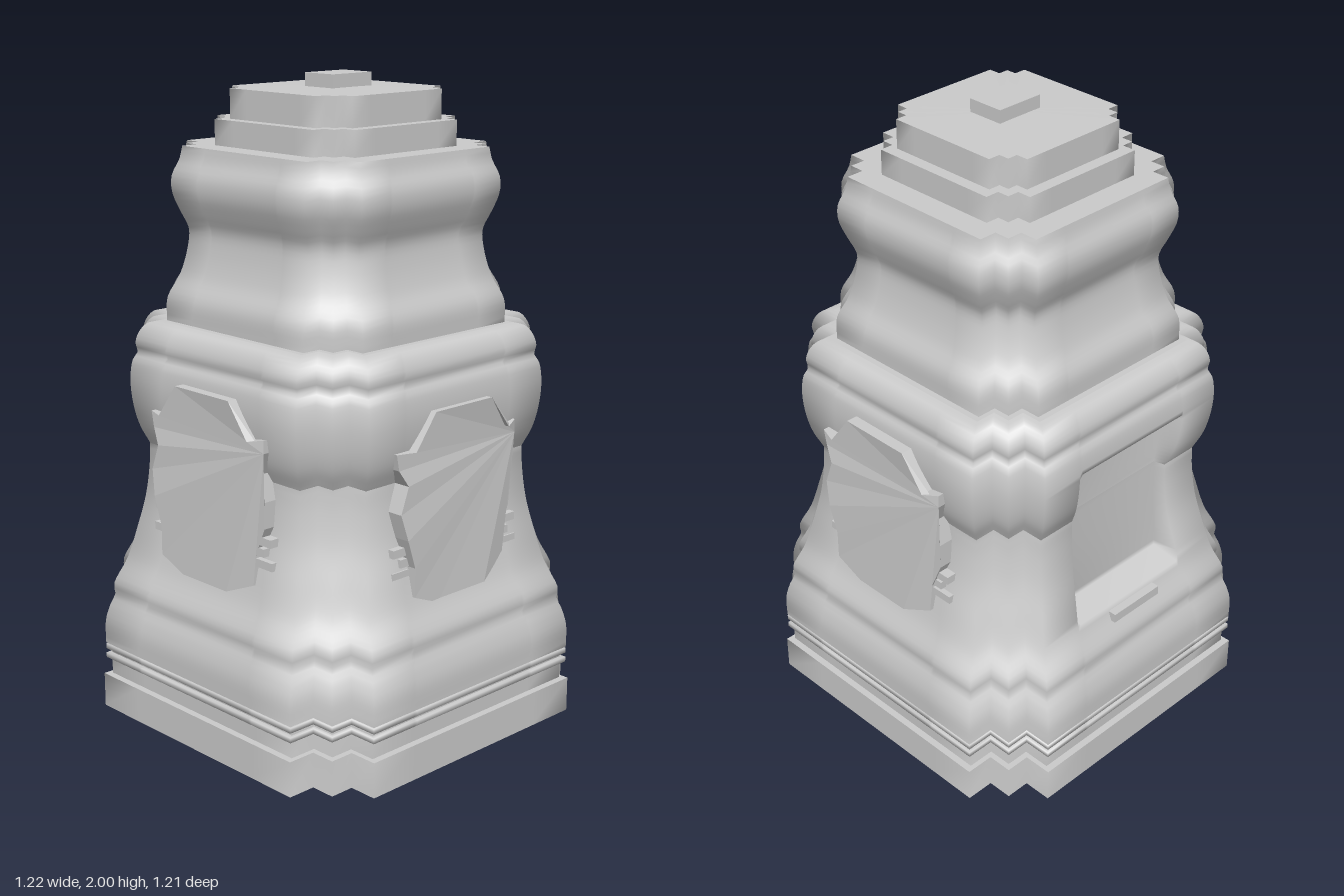
import * as THREE from 'three';

const grey = new THREE.MeshStandardMaterial({ color: 0xcccccc, side: THREE.DoubleSide });

// Square plan with two steps in every corner, as [x, z] for half-width 1
const B = 0.85, C = 0.72, plan = [];
const quarter = [[1, -C], [1, -0.44], [1, -0.42], [1, 0.42], [1, 0.44], [1, C], [B, C], [B, B], [C, B]];
for (let k = 0; k < 4; k++) {
  for (let [x, z] of quarter) {
    for (let i = 0; i < k; i++) [x, z] = [-z, x];
    plan.push([x, z]);
  }
}
const N = plan.length;

// Skin one band of the tower from [halfWidth, y] rows
function band(name, rows) {
  const pos = [], idx = [];
  rows.forEach(([r, y], j) => {
    plan.forEach(([px, pz], i) => {
      let x = px * r;
      // niche sunk into the -x face
      if ((i === 20 || i === 21) && y > 0.53 && y < 1.06) x = Math.max(x, -0.44);
      pos.push(x, y, pz * r * 0.99);
      if (j === 0) return;
      const n = (i + 1) % N, a = (j - 1) * N + i, b = (j - 1) * N + n, c = j * N + i, d = j * N + n;
      idx.push(a, c, b, b, c, d);
    });
  });
  const g = new THREE.BufferGeometry();
  g.setAttribute('position', new THREE.Float32BufferAttribute(pos, 3));
  g.setIndex(idx);
  g.computeVertexNormals();
  const mesh = new THREE.Mesh(g, grey);
  mesh.name = name;
  return mesh;
}

// Smooth rows through a few profile points
function curveRows(points, steps) {
  const curve = new THREE.CatmullRomCurve3(points.map(([r, y]) => new THREE.Vector3(r, y, 0)), false, 'centripetal');
  return curve.getSpacedPoints(steps).map(p => [p.x, p.y]);
}

function box(name, w, h, d, x, y, z) {
  const m = new THREE.Mesh(new THREE.BoxGeometry(w, h, d), grey);
  m.position.set(x, y, z);
  m.name = name;
  return m;
}

// Shield-shaped plate facing +z: x, y and how far the rim is set back
const rim = [
  [0.25, 0.97, 0.02], [0.25, 1.01, 0.02], [0.2, 1.0, 0], [0.12, 1.105, 0], [-0.12, 1.105, 0],
  [-0.2, 1.0, 0], [-0.26, 1.0, 0.02], [-0.25, 0.95, 0.02], [-0.22, 0.9, 0.01], [-0.25, 0.82, 0.01],
  [-0.23, 0.74, 0], [-0.2, 0.65, 0], [-0.2, 0.56, 0], [-0.1, 0.52, 0], [0.1, 0.52, 0],
  [0.2, 0.56, 0.02], [0.2, 0.65, 0.03], [0.24, 0.74, 0.03], [0.24, 0.82, 0.03], [0.22, 0.9, 0.03],
];
function shield(z) {
  const pos = [], at = i => { const [x, y, s] = rim[i % rim.length]; return [x, y, z - s]; };
  const back = p => [p[0], p[1], 0.42];
  for (let i = 0; i < rim.length; i++) {
    const a = at(i), b = at(i + 1);
    pos.push(...a, ...back(a), ...b, ...b, ...back(a), ...back(b));
    if (i > 0 && i < rim.length - 1) pos.push(...at(0), ...a, ...b);
  }
  const g = new THREE.BufferGeometry();
  g.setAttribute('position', new THREE.Float32BufferAttribute(pos, 3));
  g.computeVertexNormals();
  const group = new THREE.Group();
  const plate = new THREE.Mesh(g, grey);
  plate.name = 'shieldPlate';
  group.add(plate);
  // small stepped brackets beside the plate
  [[0.54, 0.63], [0.47, 0.665], [0.53, 0.7]].forEach(([w, y]) =>
    group.add(box('shieldBracket', w, 0.025, 0.1, 0, y, 0.465)));
  return group;
}

export function createModel() {
  const model = new THREE.Group();

  // Plinth and lower mouldings
  model.add(band('plinth', [[0.61, 0], [0.61, 0.11]]));
  model.add(band('plinthLedge', [[0.61, 0.11], [0.588, 0.11]]));
  model.add(band('plinthNeck', [[0.588, 0.11], [0.588, 0.215]]));
  for (const y of [0.165, 0.195]) {
    model.add(band('baseLip', [[0.588, y], [0.603, y], [0.603, y + 0.016], [0.588, y + 0.016]]));
  }
  model.add(band('flareUnderside', [[0.588, 0.215], [0.603, 0.215]]));

  // Flared lower body running into the rounded middle
  model.add(band('lowerBody', curveRows([
    [0.603, 0.215], [0.602, 0.29], [0.59, 0.34], [0.575, 0.38], [0.578, 0.41], [0.54, 0.5],
    [0.513, 0.6], [0.49, 0.7], [0.478, 0.8], [0.475, 0.87],
  ], 36)));
  model.add(band('middleBulge', curveRows([
    [0.475, 0.87], [0.5, 0.93], [0.515, 1.0], [0.52, 1.08], [0.512, 1.14], [0.5, 1.16],
    [0.505, 1.19], [0.495, 1.225], [0.475, 1.25], [0.445, 1.257],
  ], 30)));
  model.add(band('bulgeLedge', [[0.445, 1.257], [0.425, 1.257]]));

  // Waisted upper body
  model.add(band('upperBody', curveRows([
    [0.425, 1.257], [0.422, 1.33], [0.39, 1.4], [0.37, 1.48], [0.366, 1.54], [0.385, 1.59],
    [0.405, 1.65], [0.405, 1.7], [0.385, 1.75], [0.378, 1.787],
  ], 30)));
  model.add(band('upperLedge', [[0.378, 1.787], [0.298, 1.787]]));

  // Stepped cap with a small finial block
  model.add(band('lowerCap', [[0.298, 1.787], [0.298, 1.865]]));
  model.add(band('capLedge', [[0.298, 1.865], [0.26, 1.865]]));
  model.add(band('upperCap', [[0.26, 1.865], [0.26, 1.955]]));
  model.add(band('capTop', [[0.26, 1.955], [0.06, 1.96], [0, 1.96]]));
  model.add(box('finial', 0.12, 0.05, 0.16, 0.01, 1.975, 0));

  // Shields on the front, +x side and back
  [['frontShield', 0.545, 0, 0], ['leftShield', 0.54, Math.PI / 2, -0.03], ['backShield', 0.55, Math.PI, 0]]
    .forEach(([name, z, turn, dy]) => {
      const s = shield(z);
      s.name = name;
      s.rotation.y = turn;
      s.position.y = dy;
      model.add(s);
    });

  // Sill below the niche on the -x side
  model.add(box('nicheSill', 0.05, 0.03, 0.2, -0.54, 0.49, 0));
  return model;
}
